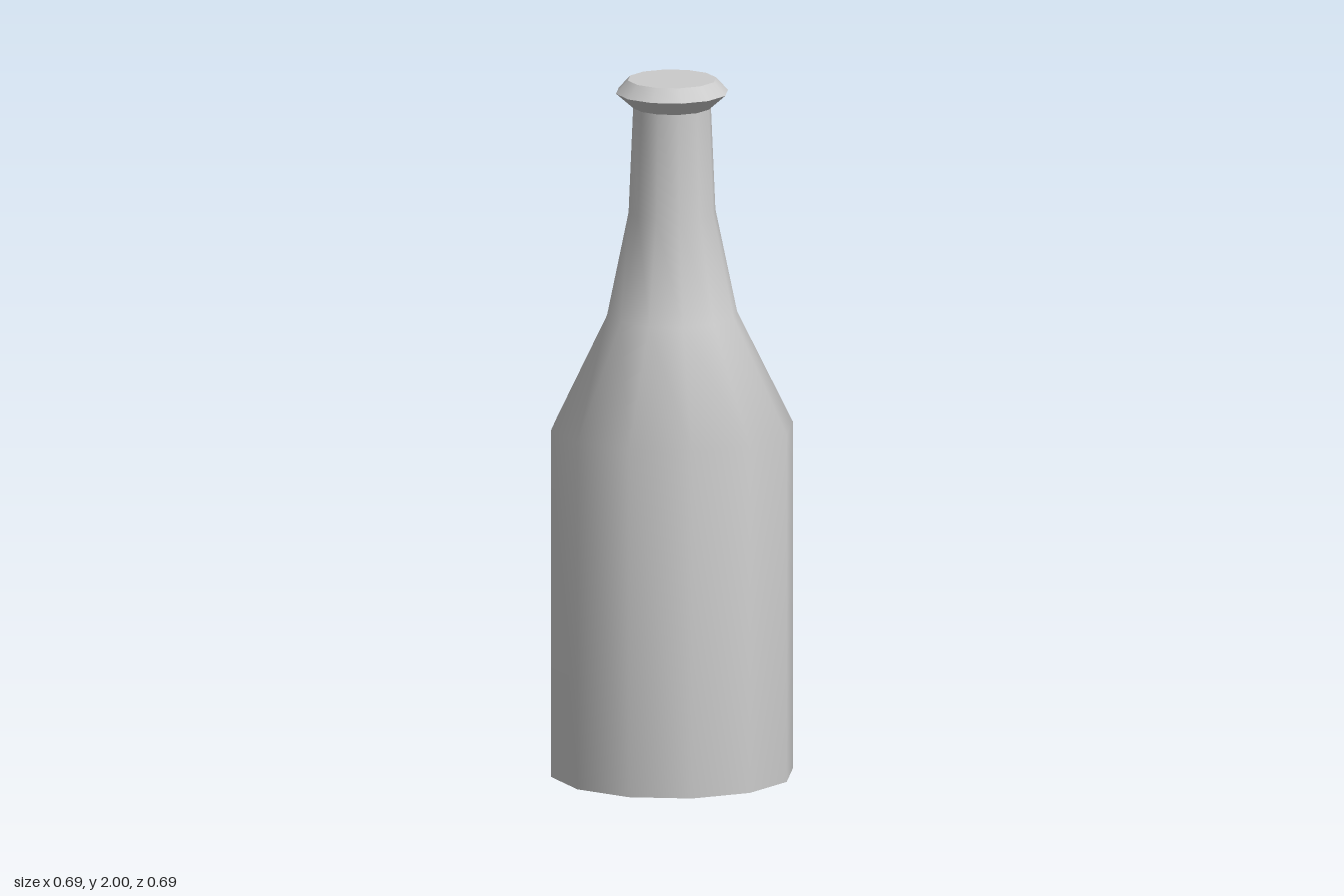
import * as THREE from 'three';

const SIDES = 12;

export function createModel() {
  const model = new THREE.Group();
  model.name = 'bottle';
  const material = new THREE.MeshStandardMaterial({ color: 0xcccccc });

  // Turned band, smooth along its profile; separate bands meet at sharp edges
  function turned(name, profile, parent) {
    const points = profile.map(([r, y]) => new THREE.Vector2(r, y));
    const mesh = new THREE.Mesh(new THREE.LatheGeometry(points, SIDES), material);
    mesh.name = name;
    parent.add(mesh);
  }

  // Base, then body flowing through the shoulder into the neck
  turned('base', [[0, 0], [0.345, 0]], model);
  turned('bodyAndNeck', [
    [0.345, 0], [0.345, 1.0], [0.186, 1.323], [0.124, 1.62], [0.111, 1.92],
  ], model);

  // Flared lip with a closed flat top
  const lip = new THREE.Group();
  lip.name = 'lip';
  turned('lipUnderside', [[0.111, 1.92], [0.16, 1.963]], lip);
  turned('lipBevel', [[0.16, 1.963], [0.126, 2]], lip);
  turned('lipTop', [[0.126, 2], [0, 2]], lip);
  model.add(lip);

  return model;
}
